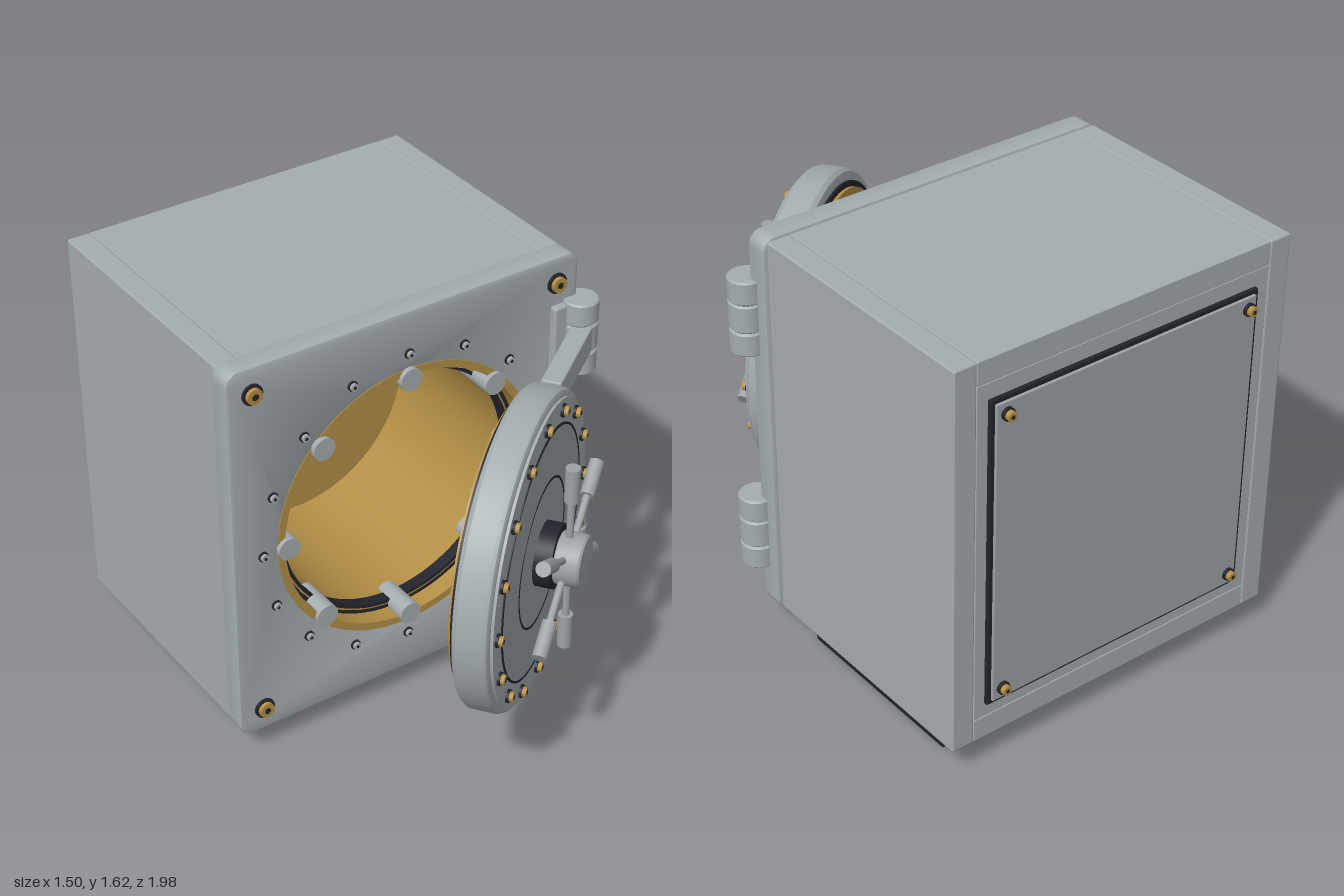
import * as THREE from 'three';
import { toCreasedNormals } from 'three/addons/utils/BufferGeometryUtils.js';
import { RoundedBoxGeometry } from 'three/addons/geometries/RoundedBoxGeometry.js';

const mat = (name, color) => Object.assign(new THREE.MeshStandardMaterial({ color }), { name });

export function createModel() {
  const steel = mat('steel', 0xa4acaf);
  const plate = mat('brushed steel', 0x9da2a5);
  const gold = mat('brass', 0xb38f45);
  const dark = mat('black rubber', 0x23232c);

  const root = new THREE.Group();
  root.name = 'safe';
  const CX = -0.035, CY = 0.86;

  const add = (parent, name, geo, material, x = 0, y = 0, z = 0) => {
    const m = new THREE.Mesh(geo, material);
    m.name = name;
    m.position.set(x, y, z);
    parent.add(m);
    return m;
  };
  // box given by its limits
  const box = (parent, name, material, [x0, x1], [y0, y1], [z0, z1], r = 0.008) =>
    add(parent, name, new RoundedBoxGeometry(x1 - x0, y1 - y0, z1 - z0, 2, r), material,
      (x0 + x1) / 2, (y0 + y1) / 2, (z0 + z1) / 2);
  // profile of [radius, z] pairs turned about the z axis
  const turned = (points, segments = 96) => {
    const g = new THREE.LatheGeometry(points.map(p => new THREE.Vector2(...p)), segments);
    return toCreasedNormals(g.rotateX(Math.PI / 2), 0.6);
  };
  const ring = (r0, r1, z0, z1) => turned([[r0, z0], [r1, z0], [r1, z1], [r0, z1], [r0, z0]]);
  const disc = (r, z0, z1, sides = 32) =>
    new THREE.CylinderGeometry(r, r, z1 - z0, sides).rotateX(Math.PI / 2).translate(0, 0, (z0 + z1) / 2);
  // washer, hexagonal head and socket
  const bolt = (parent, name, x, y, z, r, h, head = gold) => {
    const g = new THREE.Group();
    g.name = name;
    g.position.set(x, y, z);
    add(g, 'washer', disc(r, 0, h * 0.4, 20), dark);
    add(g, 'head', disc(r * 0.76, 0, h, 12), head);
    add(g, 'socket', disc(r * 0.33, h, h + 0.002, 6), dark);
    parent.add(g);
    return g;
  };

  // Cabinet shell
  const body = new THREE.Group();
  body.name = 'cabinet';
  root.add(body);
  box(body, 'rightWall', steel, [-0.738, -0.648], [0.115, 1.615], [-0.945, 0.055]);
  box(body, 'leftWall', steel, [0.574, 0.664], [0.115, 1.615], [-0.945, 0.055]);
  box(body, 'roof', steel, [-0.648, 0.574], [1.525, 1.614], [-0.944, 0.055], 0.004);
  box(body, 'floor', steel, [-0.648, 0.574], [0.116, 0.205], [-0.944, 0.055], 0.004);
  box(body, 'backWall', steel, [-0.648, 0.574], [0.205, 1.525], [-0.943, -0.89], 0.004);

  // Back cover
  box(body, 'backGasket', dark, [-0.592, 0.53], [0.26, 1.464], [-0.958, -0.94], 0.003);
  box(body, 'backCover', plate, [-0.576, 0.514], [0.276, 1.448], [-0.968, -0.94], 0.003);
  for (const x of [-0.542, 0.474]) for (const y of [0.32, 1.406])
    bolt(body, 'backBolt', x, y, -0.968, 0.024, 0.03).rotation.y = Math.PI;

  // Front panel with a round opening
  const x0 = -0.75, x1 = 0.68, y0 = 0.1, y1 = 1.625, c = 0.05;
  const s = new THREE.Shape();
  s.moveTo(x0 + c, y0);
  s.lineTo(x1 - c, y0).absarc(x1 - c, y0 + c, c, -Math.PI / 2, 0);
  s.lineTo(x1, y1 - c).absarc(x1 - c, y1 - c, c, 0, Math.PI / 2);
  s.lineTo(x0 + c, y1).absarc(x0 + c, y1 - c, c, Math.PI / 2, Math.PI);
  s.lineTo(x0, y0 + c).absarc(x0 + c, y0 + c, c, Math.PI, Math.PI * 1.5);
  s.holes.push(new THREE.Path().absarc(CX, CY, 0.53, 0, Math.PI * 2, true));
  const panel = new THREE.ExtrudeGeometry(s, {
    depth: 0.07, curveSegments: 40, bevelSize: 0.01, bevelThickness: 0.01, bevelOffset: -0.01, bevelSegments: 2,
  });
  add(body, 'frontPanel', toCreasedNormals(panel, 0.5), steel, 0, 0, 0.06);

  // Lined opening
  add(body, 'doorFrame', ring(0.512, 0.541, 0.05, 0.143), gold, CX, CY);
  add(body, 'outerSeal', ring(0.497, 0.513, 0.03, 0.075), dark, CX, CY);
  add(body, 'sealBand', ring(0.491, 0.498, 0.03, 0.075), gold, CX, CY);
  add(body, 'innerSeal', ring(0.478, 0.492, 0.03, 0.075), dark, CX, CY);
  add(body, 'vaultLining', turned([[0.479, 0.07], [0.479, -0.6], [0, -0.6]]), gold, CX, CY);

  // Locking pins and small bolts around the opening
  for (let i = 0; i < 8; i++) {
    const a = i * Math.PI / 4;
    add(body, 'lockingPin', disc(0.043, 0, 0.16), steel, CX + 0.503 * Math.cos(a), CY + 0.503 * Math.sin(a));
  }
  for (let i = 0; i < 16; i++) {
    const a = i * Math.PI / 8;
    bolt(body, 'frameBolt', CX + 0.6 * Math.cos(a), CY + 0.6 * Math.sin(a), 0.14, 0.019, 0.018, steel);
  }
  for (const x of [-0.654, 0.586]) for (const y of [0.197, 1.526])
    bolt(body, 'cornerBolt', x, y, 0.14, 0.039, 0.025);

  // Feet
  for (const x of [-0.547, 0.48]) {
    box(root, 'footMount', steel, [x - 0.13, x + 0.13], [0.045, 0.118], [-0.838, -0.024], 0.015);
    box(root, 'footPad', dark, [x - 0.118, x + 0.118], [0, 0.047], [-0.806, -0.056], 0.012);
    bolt(root, 'footBolt', x, 0.095, -0.024, 0.026, 0.02, steel);
  }

  // Open door, pivoting on the hinge line
  const hinge = new THREE.Group();
  hinge.name = 'hingedDoor';
  hinge.position.set(0.68, 0, 0.164);
  hinge.rotation.y = THREE.MathUtils.degToRad(36);
  root.add(hinge);
  const door = new THREE.Group();
  door.name = 'door';
  door.position.set(-0.712, CY, 0);
  hinge.add(door);
  add(door, 'doorSlab', turned([[0, -0.052], [0.535, -0.052], [0.557, -0.046], [0.568, -0.03], [0.568, 0.055],
    [0.562, 0.072], [0.55, 0.08], [0.54, 0.08], [0.54, 0.09], [0, 0.09]]), steel);
  add(door, 'doorSeal', disc(0.525, -0.062, -0.05, 96), dark);
  add(door, 'doorLining', disc(0.503, -0.075, -0.06, 96), gold);
  add(door, 'doorFace', disc(0.45, 0.085, 0.093, 96), plate);
  for (const r of [0.45, 0.265]) add(door, 'doorGroove', ring(r - 0.004, r + 0.004, 0.086, 0.0945), dark);
  for (let i = 0; i < 16; i++) {
    const a = i * Math.PI / 8;
    bolt(door, 'doorBolt', 0.5 * Math.cos(a), 0.5 * Math.sin(a), 0.09, 0.024, 0.024);
  }

  // Handwheel
  const wheel = new THREE.Group();
  wheel.name = 'handwheel';
  door.add(wheel);
  add(wheel, 'wheelCollar', disc(0.115, 0.09, 0.155, 40), dark);
  add(wheel, 'wheelHub', turned([[0, 0.15], [0.085, 0.15], [0.094, 0.16], [0.094, 0.24], [0.088, 0.248], [0, 0.248]], 40), plate);
  for (let i = 0; i < 6; i++) {
    const spoke = new THREE.Group();
    spoke.name = 'spoke';
    spoke.rotation.z = i * Math.PI / 3;
    add(spoke, 'spokeRod', new THREE.CylinderGeometry(0.013, 0.013, 0.21, 16), plate, 0, 0.165, 0.187);
    add(spoke, 'spokeGrip', new THREE.CylinderGeometry(0.026, 0.026, 0.134, 20), plate, 0, 0.307, 0.187);
    wheel.add(spoke);
  }

  // Hinges: wall plate, three knuckles, pin and door arm
  for (const y of [1.305, 0.418]) {
    box(root, 'hingePlate', steel, [0.565, 0.675], [y - 0.133, y + 0.133], [0.135, 0.17], 0.01);
    add(root, 'hingePin', new THREE.CylinderGeometry(0.056, 0.056, 0.27, 24), dark, 0.68, y, 0.164);
    for (const [dy, h] of [[0.1, 0.089], [0, 0.105], [-0.1, 0.089]]) {
      const e = 0.006, r = 0.066;
      const g = turned([[0, -h / 2], [r - e, -h / 2], [r, e - h / 2], [r, h / 2 - e], [r - e, h / 2], [0, h / 2]], 32);
      add(root, 'hingeKnuckle', g.rotateX(-Math.PI / 2), steel, 0.68, y + dy, 0.164);
    }
    box(hinge, 'hingeArm', steel, [-0.42, 0], [y - 0.052, y + 0.052], [-0.018, 0.056], 0.006);
  }
  return root;
}
